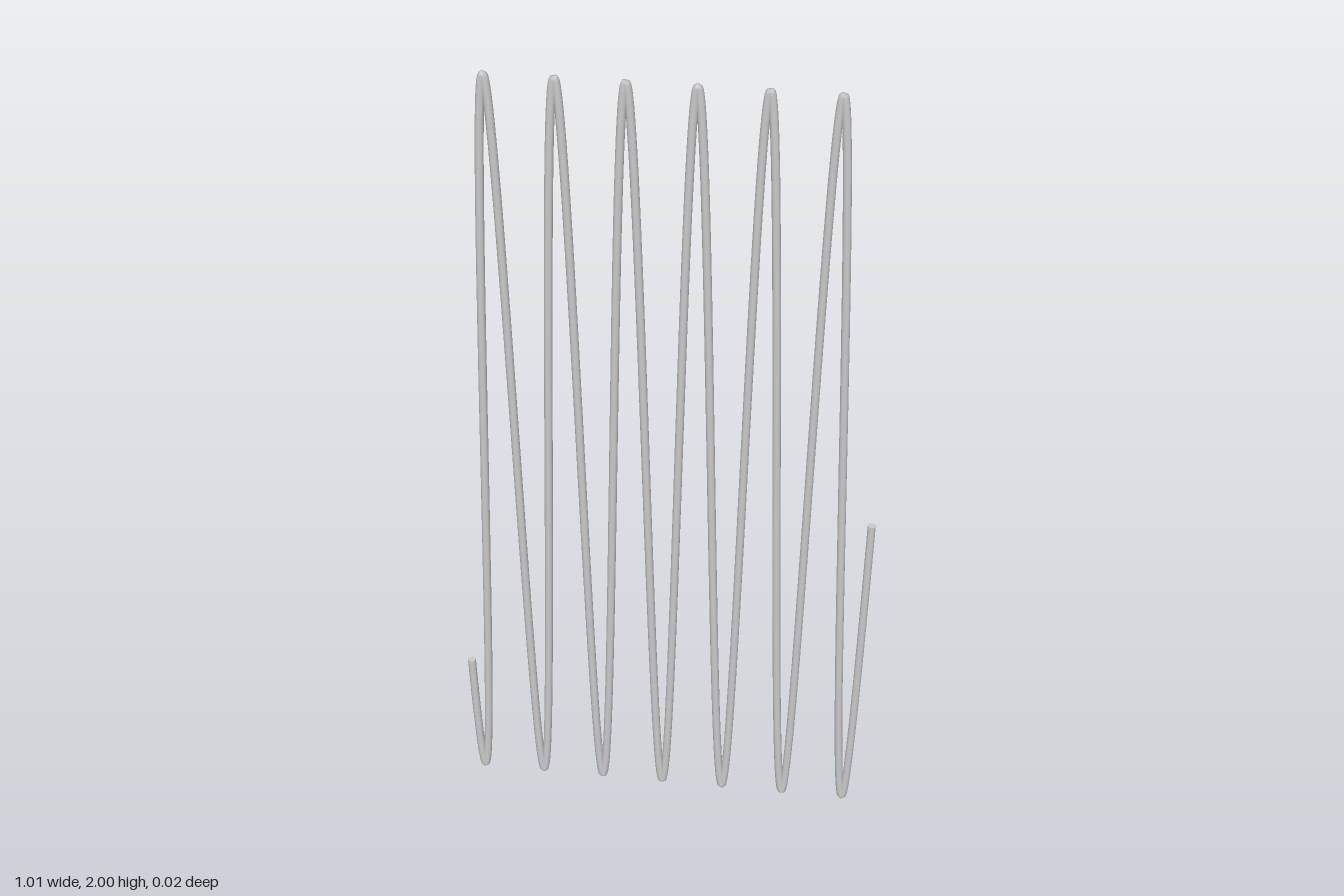
import * as THREE from 'three';

const RADIUS = 0.01;
const AMPLITUDE = 0.99;
const HALF_WIDTH = 0.494;
const START = -0.862;                    // phase at the left end, 0 is a trough
const END = 6 * Math.PI * 2 + 1.444;     // six full waves and a partial rise
const SIDES = 10;

// Tall sine wave in the xy plane, sampled evenly in phase so the tight bends stay round
class WaveCurve extends THREE.Curve {
  getPoint(t, target = new THREE.Vector3()) {
    const phase = THREE.MathUtils.lerp(START, END, t);
    return target.set(
      THREE.MathUtils.lerp(-HALF_WIDTH, HALF_WIDTH, t),
      AMPLITUDE + RADIUS - AMPLITUDE * Math.cos(phase),
      0
    );
  }
  getPointAt(t, target) { return this.getPoint(t, target); }
  getTangentAt(t, target) { return this.getTangent(t, target); }
}

export function createModel() {
  const group = new THREE.Group();
  group.name = 'waveWire';
  const material = new THREE.MeshStandardMaterial({ color: 0xcccccc, side: THREE.DoubleSide });
  const curve = new WaveCurve();

  // Wire
  const wire = new THREE.Mesh(new THREE.TubeGeometry(curve, 800, RADIUS, SIDES, false), material);
  wire.name = 'wire';
  group.add(wire);

  // Flat end caps
  for (const [t, sign, name] of [[0, -1, 'rightEndCap'], [1, 1, 'leftEndCap']]) {
    const cap = new THREE.Mesh(new THREE.CircleGeometry(RADIUS, SIDES), material);
    cap.name = name;
    cap.position.copy(curve.getPoint(t));
    const outward = curve.getTangent(t).multiplyScalar(sign);
    cap.quaternion.setFromUnitVectors(new THREE.Vector3(0, 0, 1), outward);
    group.add(cap);
  }
  return group;
}
